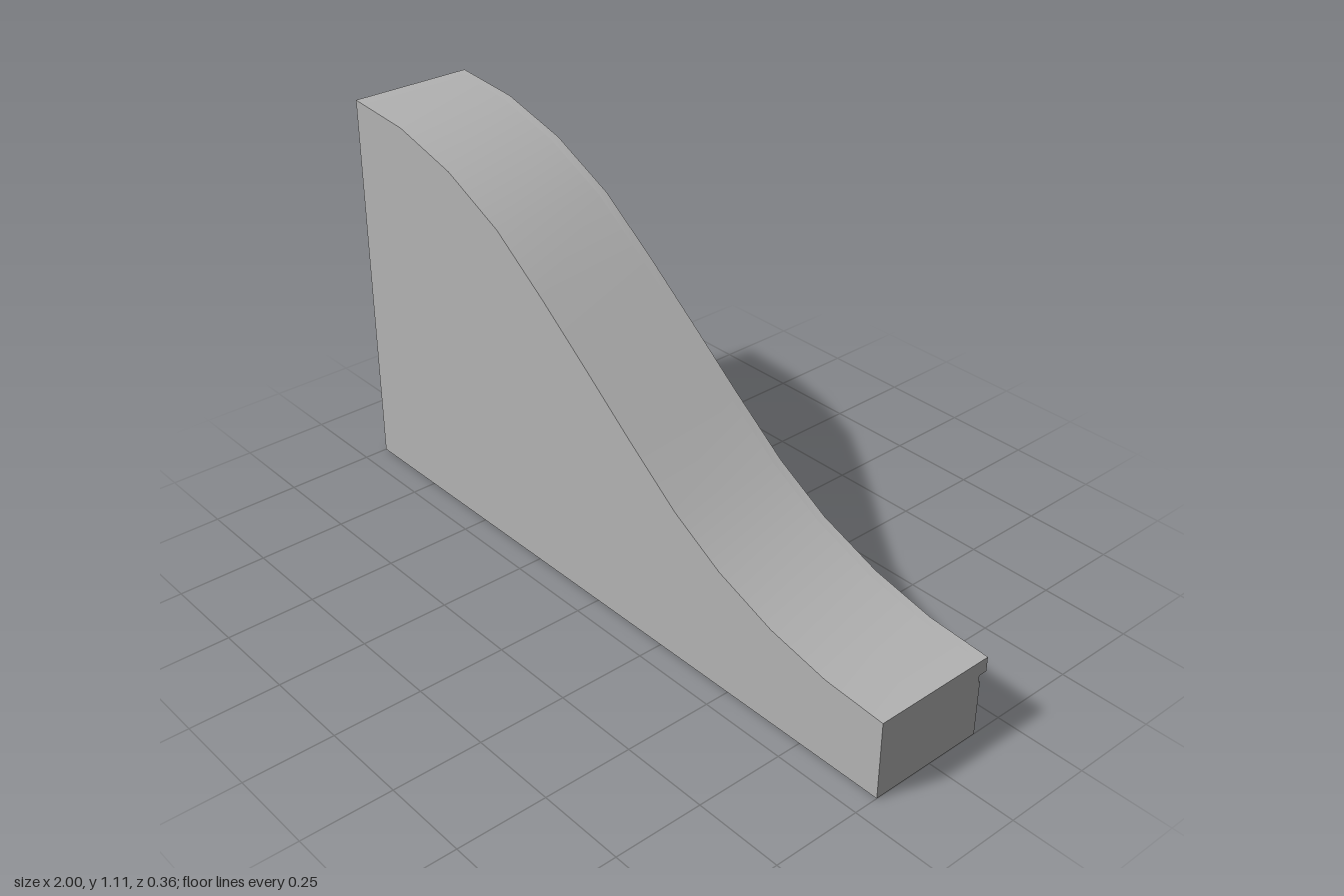
import * as THREE from 'three';
import { toCreasedNormals } from 'three/addons/utils/BufferGeometryUtils.js';

// Sweeping top line of the wall, from the tall end to the low end
const CURVE = [
  [-1, 1.11], [-0.79, 1.093], [-0.58, 1.037], [-0.38, 0.943], [-0.2, 0.815],
  [-0.03, 0.685], [0.13, 0.56], [0.3, 0.433], [0.46, 0.342], [0.64, 0.274],
  [0.82, 0.235], [1, 0.222],
];
const FRONT = 0.18, WALL = -0.155, RELIEF = -0.16, LEDGE = -0.18;

// Height of the top line at x
function heightAt(x) {
  let i = 1;
  while (i < CURVE.length - 1 && CURVE[i][0] < x) i++;
  const [x0, y0] = CURVE[i - 1], [x1, y1] = CURVE[i];
  return y0 + (y1 - y0) * (x - x0) / (x1 - x0);
}

export function createModel() {
  const model = new THREE.Group();
  model.name = 'slopingWall';
  const stone = new THREE.MeshStandardMaterial({ color: 0xb4b4b4 });
  stone.name = 'grey stone';

  // Extrudes an outline between two depths
  function slab(name, points, zBack, zFront, parent = model) {
    const shape = new THREE.Shape(points.map(([x, y]) => new THREE.Vector2(x, y)));
    const raw = new THREE.ExtrudeGeometry(shape, { depth: zFront - zBack, bevelEnabled: false });
    raw.translate(0, 0, zBack);
    const mesh = new THREE.Mesh(toCreasedNormals(raw, 0.5), stone);
    mesh.name = name;
    parent.add(mesh);
  }

  // Solid wall under the sweeping top
  slab('wallBody', [[-1, 0], [1, 0], ...[...CURVE].reverse()], WALL, FRONT);

  // Overhanging coping along the back edge
  const underside = CURVE.map(([x, y]) => [x, y - 0.042]);
  slab('backCoping', [...underside, ...[...CURVE].reverse()], LEDGE, WALL);

  // Row of raised blocks following the slope
  const blocks = new THREE.Group();
  blocks.name = 'raisedBlocks';
  model.add(blocks);
  for (let i = 0; i < 10; i++) {
    const a = -1 + i * 0.2, b = a + 0.1;
    const ya = heightAt(a) - 0.065, yb = heightAt(b) - 0.065;
    slab('raisedBlock', [[a, ya - 0.11], [b, yb - 0.11], [b, yb], [a, ya]], RELIEF, WALL, blocks);
  }

  // Slim vertical ribs, each ending under a block; the low end has a free one
  const ribs = new THREE.Group();
  ribs.name = 'verticalRibs';
  model.add(ribs);
  for (let i = 0; i < 6; i++) {
    const last = i === 5;
    const a = last ? 0.99 : -1 + i * 0.4, b = a + 0.01;
    const drop = last ? 0.062 : 0.175;
    slab('verticalRib', [[a, 0], [b, 0], [b, heightAt(b) - drop], [a, heightAt(a) - drop]], RELIEF, WALL, ribs);
  }
  return model;
}
